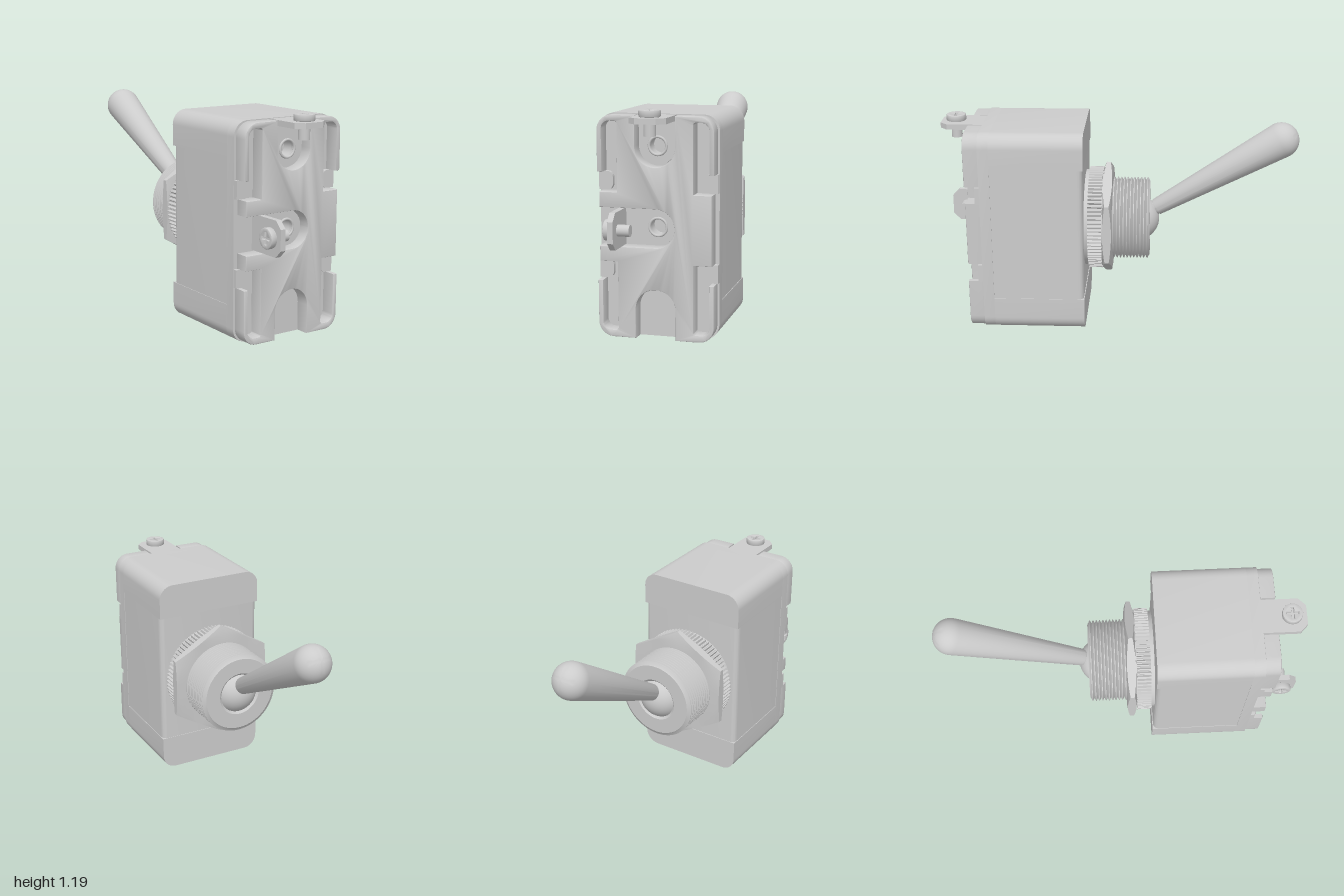
import * as THREE from 'three';
import { toCreasedNormals } from 'three/addons/utils/BufferGeometryUtils.js';

const material = new THREE.MeshStandardMaterial({ color: 0xcccccc });
const open = new THREE.MeshStandardMaterial({ color: 0xcccccc, side: THREE.DoubleSide });

function add(parent, name, geometry, mat = material) {
  const mesh = new THREE.Mesh(geometry, mat);
  mesh.name = name;
  parent.add(mesh);
  return mesh;
}

// Closed outline from [x, y, cornerRadius] points
function roundPoly(points) {
  const shape = new THREE.Shape();
  const n = points.length;
  points.forEach(([x, y, r = 0], i) => {
    const p = new THREE.Vector2(x, y);
    const toward = (q, d) => new THREE.Vector2(q[0], q[1]).sub(p).setLength(d).add(p);
    const prev = points[(i + n - 1) % n], next = points[(i + 1) % n];
    const a = toward(prev, r), b = toward(next, r);
    if (i === 0) shape.moveTo(a.x, a.y); else shape.lineTo(a.x, a.y);
    if (r) {
      const c = toward(prev, r * 0.448), d = toward(next, r * 0.448);
      shape.bezierCurveTo(c.x, c.y, d.x, d.y, b.x, b.y);
    }
  });
  shape.closePath();
  return shape;
}

// Extrusion along z with an optional bevel that stays within the outline and depth
function extrude(shape, z0, z1, bevel = 0) {
  const g = new THREE.ExtrudeGeometry(shape, {
    depth: z1 - z0 - 2 * bevel, curveSegments: 10, bevelEnabled: bevel > 0,
    bevelSize: bevel, bevelThickness: bevel, bevelOffset: -bevel, bevelSegments: 2,
  });
  g.translate(0, 0, z0 + bevel);
  return toCreasedNormals(g, 0.55);
}

function hole(shape, x, y, r) {
  const path = new THREE.Path();
  path.absarc(x, y, r, 0, Math.PI * 2, true);
  shape.holes.push(path);
}

function lathe(points, segments = 64) {
  const g = new THREE.LatheGeometry(points.map(([r, y]) => new THREE.Vector2(r, y)), segments);
  return toCreasedNormals(g, 0.55);
}

// Pan head screw along +y, its head resting on y = 0
function makeScrew() {
  const screw = new THREE.Group();
  screw.name = 'terminalScrew';
  const head = new THREE.Shape();
  head.absarc(0, 0, 0.055, 0, Math.PI * 2);
  const a = 0.032, b = 0.007;
  head.holes.push(new THREE.Path([[b, a], [b, b], [a, b], [a, -b], [b, -b], [b, -a],
    [-b, -a], [-b, -b], [-a, -b], [-a, b], [-b, b], [-b, a]].map(p => new THREE.Vector2(...p))));
  add(screw, 'screwHead', extrude(head, 0, 0.036, 0.006).rotateX(-Math.PI / 2));
  add(screw, 'recessFloor', new THREE.CylinderGeometry(0.04, 0.04, 0.015, 24)).position.y = 0.008;
  add(screw, 'screwShank', new THREE.CylinderGeometry(0.03, 0.03, 0.1, 24)).position.y = -0.045;
  return screw;
}

// Angled terminal: foot centred on its eyelet, tab standing at y = length
function makeTerminal(length) {
  const terminal = new THREE.Group();
  terminal.name = 'terminal';
  const w = 0.095;
  const foot = roundPoly([[-w, -w, 0.094], [w, -w, 0.094], [w, length], [-w, length]]);
  hole(foot, 0, 0, 0.045);
  add(terminal, 'terminalFoot', extrude(foot, 0, 0.025));
  add(terminal, 'eyelet', new THREE.TorusGeometry(0.046, 0.007, 8, 32)).position.z = 0.025;
  const tab = roundPoly([[-w, 0], [w, 0], [w, 0.2], [0.055, 0.24], [-0.055, 0.24], [-w, 0.2]]);
  add(terminal, 'terminalTab', extrude(tab, 0, 0.03).rotateX(Math.PI / 2)).position.y = length;
  const screw = makeScrew();
  screw.position.set(0, length, 0.16);
  terminal.add(screw);
  return terminal;
}

// Hexagonal nut from y0 to y1 with chamfered corners
function makeNut(y0, y1) {
  const flat = 0.29;
  const g = new THREE.LatheGeometry([[0.2, y0], [0.28, y0], [1, y0], [1, y1], [0.28, y1], [0.2, y1]]
    .map(p => new THREE.Vector2(...p)), 72);
  const p = g.attributes.position;
  const mid = (y0 + y1) / 2;
  for (let i = 0; i < p.count; i++) {
    const x = p.getX(i), z = p.getZ(i);
    if (Math.hypot(x, z) < 0.5) continue;
    const angle = (Math.atan2(x, z) + Math.PI * 2) % (Math.PI / 3);
    const r = flat / Math.cos(angle - Math.PI / 6);
    const y = p.getY(i);
    p.setXYZ(i, x * r, y + Math.sign(mid - y) * (r - flat) * 0.3, z * r);
  }
  return toCreasedNormals(g, 0.35);
}

export function createModel() {
  const model = new THREE.Group();
  model.name = 'toggleSwitch';
  const H = 1.155, W = 0.315, R = 0.08;

  // Housing: end caps, middle band and front floor with rivet holes
  add(model, 'topCap', extrude(roundPoly([[-W, 0.962], [W, 0.962], [W, H, R], [-W, H, R]]), 0.19, 0.7));
  add(model, 'bottomCap', extrude(roundPoly([[-W, 0, R], [W, 0, R], [W, 0.198], [-W, 0.198]]), 0.19, 0.7));
  const band = roundPoly([[-0.312, -0.7], [0.312, -0.7], [0.312, -0.194, 0.03], [-0.312, -0.194, 0.03]]);
  add(model, 'middleBand', extrude(band, 0.198, 0.962).rotateX(-Math.PI / 2));
  const floor = roundPoly([[-W, 0, R], [W, 0, R], [W, H, R], [-W, H, R]]);
  hole(floor, 0, 0.58, 0.045);
  hole(floor, 0, 0.995, 0.045);
  add(model, 'housingFloor', extrude(floor, 0.7, 0.76));

  // Front base with side pockets and terminal slots
  const top = 1.151, wall = 0.306, side = 0.295, s = 0.105, q = 0.012;
  const rightSide = [
    [s, 0.003], [wall, 0.003, R], [wall, 0.3], [0.28, 0.3], [0.28, 0.04, 0.04], [0.2, 0.04, q],
    [0.2, 0.4], [side, 0.4], [side, 0.76], [0.2, 0.76], [0.2, 1.12, q], [0.28, 1.12, 0.04],
    [0.28, 0.86], [wall, 0.86], [wall, top, R], [s, top],
  ];
  const leftSide = rightSide.map(([x, y, r]) => [-x, y, r]).reverse();
  leftSide.splice(8, 0, [-side, 0.68], [0.1, 0.68, 0.099], [0.1, 0.48, 0.099], [-side, 0.48]);
  const base = roundPoly([
    ...rightSide, [s, 0.892, 0.104], [-s, 0.892, 0.104],
    ...leftSide, [-s, 0.262, 0.104], [s, 0.262, 0.104],
  ]);
  add(model, 'frontBase', extrude(base, 0.76, 0.843, 0.006));

  // Pads in the side openings
  for (const sx of [-1, 1]) for (const y of [0.302, 0.762]) {
    const pad = roundPoly([[sx * 0.24, y, 0.03], [sx * 0.314, y], [sx * 0.314, y + 0.096], [sx * 0.24, y + 0.096, 0.03]]);
    add(model, 'sidePad', extrude(pad, 0.76, 0.785));
  }

  // Terminals
  const topTerminal = makeTerminal(0.157);
  topTerminal.position.set(0, 0.995, 0.76);
  const sideTerminal = makeTerminal(0.2);
  sideTerminal.position.set(0, 0.58, 0.76);
  sideTerminal.rotation.z = Math.PI / 2;
  model.add(topTerminal, sideTerminal);

  // Mounting hardware, local +y pointing to the back
  const mount = new THREE.Group();
  mount.name = 'mountingBushing';
  mount.position.y = 0.58;
  mount.rotation.x = -Math.PI / 2;
  model.add(mount);
  add(mount, 'collar', new THREE.CylinderGeometry(0.275, 0.275, 0.13, 64)).position.y = -0.14;
  const teeth = 80, knurl = new THREE.Shape();
  for (let i = 0; i < teeth * 4; i++) {
    const a = i / (teeth * 4) * Math.PI * 2, r = i % 4 < 2 ? 0.292 : 0.279;
    knurl[i ? 'lineTo' : 'moveTo'](r * Math.cos(a), r * Math.sin(a));
  }
  add(mount, 'knurledRing', extrude(knurl, 0.095, 0.173).rotateX(Math.PI / 2).scale(1, 1, 1));
  add(mount, 'hexNut', makeNut(-0.09, -0.04));
  const thread = [[0.215, -0.1]], turns = 11, pitch = 0.019;
  for (let i = 0; i < turns; i++) {
    const y = -0.042 + i * pitch;
    thread.push([0.216, y], [0.233, y + pitch * 0.4], [0.233, y + pitch * 0.6]);
  }
  thread.push([0.216, 0.168], [0.212, 0.172], [0.125, 0.172], [0.112, 0.16], [0.112, 0.06]);
  add(mount, 'threadedBushing', lathe(thread), open);

  // Lever with pivot ball and rounded tip
  const lever = new THREE.Group();
  lever.name = 'lever';
  lever.position.set(0, 0.58, -0.095);
  lever.rotation.x = -Math.atan2(0.805, 0.475);
  model.add(lever);
  add(lever, 'pivotBall', new THREE.SphereGeometry(0.13, 40, 28));
  const handle = [[0, 0.1], [0.042, 0.1], [0.042, 0.125], [0.048, 0.135]];
  for (let i = 0; i <= 12; i++) {
    const a = -0.07 + i / 12 * (Math.PI / 2 + 0.07);
    handle.push([i === 12 ? 0 : 0.1 * Math.cos(a), 0.935 + 0.1 * Math.sin(a)]);
  }
  add(lever, 'handle', lathe(handle, 40));
  return model;
}
